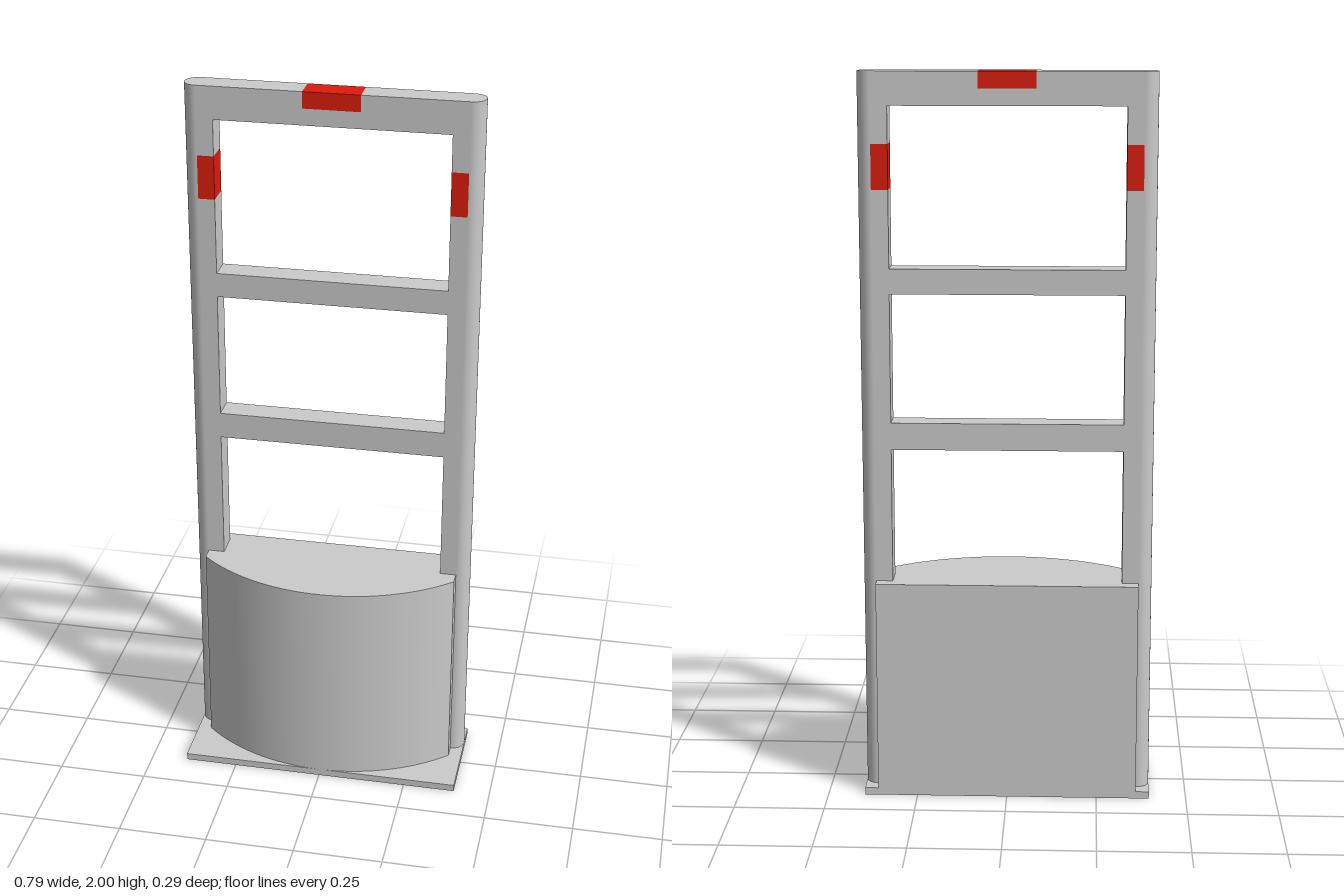
import * as THREE from 'three';
import { toCreasedNormals } from 'three/addons/utils/BufferGeometryUtils.js';

const grey = new THREE.MeshStandardMaterial({ color: 0xcccccc });
const red = new THREE.MeshStandardMaterial({ color: 0xdd1c0c });

const BASE_TOP = 0.02, TOP = 2;
const POST_X = 0.361, INNER_X = 0.315; // post rounding centre and inner face
const FRAME_Z = -0.0735, FRAME_R = 0.036;

export function createModel() {
  const group = new THREE.Group();
  const add = (name, geometry, material = grey) => {
    const mesh = new THREE.Mesh(geometry, material);
    mesh.name = name;
    group.add(mesh);
    return mesh;
  };
  // Box given by its lower and upper corners
  const block = (name, x0, x1, y0, y1, z0, z1, material) =>
    add(name, new THREE.BoxGeometry(x1 - x0, y1 - y0, z1 - z0), material)
      .position.set((x0 + x1) / 2, (y0 + y1) / 2, (z0 + z1) / 2);
  const outline = (Type, pts) => new Type(pts.map(([x, y]) => new THREE.Vector2(x, y)));
  const z0 = FRAME_Z - FRAME_R, z1 = FRAME_Z + FRAME_R;

  block('basePlate', -0.397, 0.397, 0, BASE_TOP, -0.145, 0.143);

  // Cabinet with a flat back and a bowed front
  const half = 0.36, bow = 0.143;
  const radius = (half * half + bow * bow) / (2 * bow);
  const spread = Math.asin(half / radius);
  const plan = new THREE.Shape();
  plan.moveTo(half, 0.145);
  plan.lineTo(-half, 0.145);
  plan.absarc(0, radius - bow, radius, -Math.PI / 2 - spread, -Math.PI / 2 + spread, false);
  plan.closePath();
  const cabinet = new THREE.ExtrudeGeometry(plan, { depth: 0.615 - BASE_TOP, bevelEnabled: false, curveSegments: 24 });
  cabinet.rotateX(-Math.PI / 2);
  cabinet.translate(0, BASE_TOP, 0);
  add('cabinet', toCreasedNormals(cabinet, 0.4));

  // Ladder frame, with notches that receive the red inserts
  const tagX = 0.077, tagY = 1.955, low = 1.69, high = 1.81, notchX = 0.36;
  const frame = outline(THREE.Shape, [
    [-POST_X, BASE_TOP], [POST_X, BASE_TOP], [POST_X, TOP], [tagX, TOP],
    [tagX, tagY], [-tagX, tagY], [-tagX, TOP], [-POST_X, TOP],
  ]);
  frame.holes.push(outline(THREE.Path, [
    [-INNER_X, 1.48], [-INNER_X, low], [-notchX, low], [-notchX, high], [-INNER_X, high], [-INNER_X, 1.91],
    [INNER_X, 1.91], [INNER_X, high], [notchX, high], [notchX, low], [INNER_X, low], [INNER_X, 1.48],
  ]));
  for (const [y0, y1] of [[1.06, 1.412], [0.55, 0.986]]) {
    frame.holes.push(outline(THREE.Path, [[-INNER_X, y0], [-INNER_X, y1], [INNER_X, y1], [INNER_X, y0]]));
  }
  const frameGeometry = new THREE.ExtrudeGeometry(frame, { depth: 2 * FRAME_R, bevelEnabled: false });
  frameGeometry.translate(0, 0, z0);
  add('ladderFrame', frameGeometry);

  // Rounded outer edges of the posts, and the red side inserts
  for (const [side, s] of [['left', 1], ['right', -1]]) {
    const edge = new THREE.CylinderGeometry(
      FRAME_R, FRAME_R, TOP - BASE_TOP, 16, 1, false, s > 0 ? 0 : Math.PI, Math.PI);
    add(side + 'PostEdge', edge).position.set(s * POST_X, (TOP + BASE_TOP) / 2, FRAME_Z);
    block(side + 'Insert', s > 0 ? INNER_X : -notchX, s > 0 ? notchX : -INNER_X, low, high, z0, z1, red);
  }
  block('topInsert', -tagX, tagX, tagY, TOP, z0, z1, red);

  return group;
}
